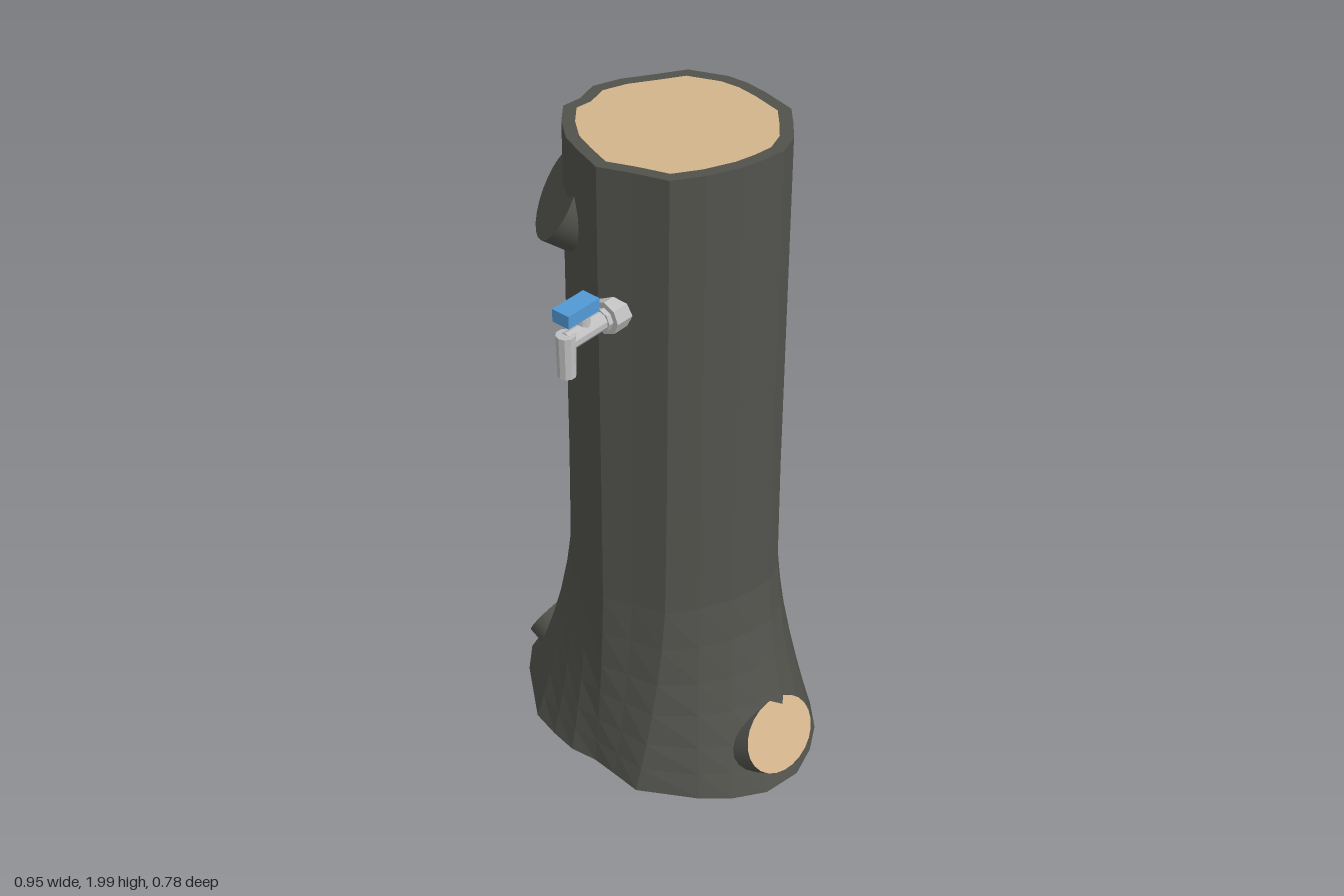
import * as THREE from 'three';

// Irregular outlines as x, z pairs, starting at the back and running towards +x
const TOP = [
  0, -0.36, 0.07, -0.35, 0.17, -0.325, 0.22, -0.27, 0.265, -0.215, 0.287, -0.15, 0.28, -0.09, 0.265, -0.025,
  0.225, 0.065, 0.175, 0.14, 0.08, 0.172, 0, 0.205, -0.085, 0.175, -0.15, 0.148, -0.215, 0.095, -0.265, 0.035,
  -0.26, -0.02, -0.28, -0.09, -0.253, -0.165, -0.2, -0.247, -0.158, -0.315, -0.06, -0.355,
];
const BASE = [
  0, -0.388, 0.14, -0.37, 0.327, -0.343, 0.398, -0.273, 0.445, -0.19, 0.475, -0.09, 0.457, 0.025, 0.398, 0.11,
  0.327, 0.173, 0.17, 0.267, 0.08, 0.26, 0, 0.255, -0.08, 0.267, -0.163, 0.255, -0.253, 0.233, -0.413, 0.102,
  -0.475, 0.025, -0.47, -0.065, -0.444, -0.153, -0.405, -0.217, -0.324, -0.343, -0.12, -0.367,
];
const N = TOP.length / 2;
const CX = 0.005, CZ = -0.08;

// Height and how far the section is flared towards the base outline
const LEVELS = [[0.05, 1], [0.12, 0.83], [0.2, 0.66], [0.3, 0.47], [0.4, 0.31], [0.52, 0.17], [0.65, 0.07], [1, 0.035], [2, 0]];

function ring(y, flare, scale = 1) {
  return Array.from({ length: N }, (_, i) => {
    const x = THREE.MathUtils.lerp(TOP[2 * i], BASE[2 * i], flare);
    const z = THREE.MathUtils.lerp(TOP[2 * i + 1], BASE[2 * i + 1], flare);
    return [CX + (x - CX) * scale, y, CZ + (z - CZ) * scale];
  });
}

function facets(triangles) {
  const g = new THREE.BufferGeometry();
  g.setAttribute('position', new THREE.Float32BufferAttribute(triangles.flat(), 3));
  g.computeVertexNormals();
  return g;
}

// Joins two rings of the same outline
function band(low, high, out) {
  for (let i = 0; i < N; i++) {
    const j = (i + 1) % N;
    out.push(low[i], high[i], high[j], low[i], high[j], low[j]);
  }
}

function cap(points, up, out) {
  const c = [CX, points[0][1], CZ];
  for (let i = 0; i < N; i++) {
    const j = (i + 1) % N;
    out.push(c, points[up ? j : i], points[up ? i : j]);
  }
}

export function createModel() {
  const mat = (name, color) => {
    const m = new THREE.MeshStandardMaterial({ color });
    m.name = name;
    return m;
  };
  const bark = mat('bark', 0x52524d);
  const wood = mat('cut wood', 0xd2b48c);
  const metal = mat('metal', 0xbfbfbf);
  const blue = mat('blue handle', 0x529ad6);

  const model = new THREE.Group();
  model.name = 'treeTrunkWithTap';
  const add = (name, geometry, material, parent = model) => {
    const mesh = new THREE.Mesh(geometry, material);
    mesh.name = name;
    parent.add(mesh);
    return mesh;
  };

  // Trunk: flared bark wall, top rim and underside
  const rings = LEVELS.map(([y, f]) => ring(y, f));
  const inner = ring(2, 0, 0.88);
  const wall = [];
  for (let i = 0; i + 1 < rings.length; i++) band(rings[i], rings[i + 1], wall);
  band(rings[rings.length - 1], inner, wall);
  cap(rings[0], false, wall);
  add('trunk', facets(wall), bark);

  // Sawn top
  const sawn = [];
  cap(inner, true, sawn);
  add('sawnTop', facets(sawn), wood);

  // Cut stubs: oval cylinders leaning upwards, turned to face outwards
  const stub = (name, pos, yaw, tall, wide, length, face) => {
    const g = new THREE.CylinderGeometry(1, 1, length, 24);
    g.translate(0, -length / 2, 0);
    g.scale(tall, 1, wide);
    g.rotateZ(-1.06);
    const mesh = add(name, g, [bark, face, bark]);
    mesh.position.set(...pos);
    mesh.rotation.y = yaw;
  };
  stub('leftRootStub', [0.425, 0.195, -0.065], 0, 0.103, 0.133, 0.185, wood);
  stub('rightRootStub', [-0.425, 0.195, -0.065], Math.PI, 0.103, 0.133, 0.185, wood);
  stub('branchStub', [-0.22, 1.8, 0.11], Math.atan2(-0.74, -0.67), 0.12, 0.138, 0.18, bark);

  // Tap
  const tap = new THREE.Group();
  tap.name = 'tap';
  tap.position.set(0.038, 1.597, 0);
  model.add(tap);
  const flat = (g) => {
    const f = g.toNonIndexed();
    f.computeVertexNormals();
    return f;
  };
  const pipe = (name, r, z0, z1, sides) => {
    const g = new THREE.CylinderGeometry(r, r, z1 - z0, sides).rotateX(Math.PI / 2);
    add(name, flat(g), metal, tap).position.z = (z0 + z1) / 2;
  };
  pipe('wallFlange', 0.046, 0.16, 0.226, 8);
  pipe('collar', 0.031, 0.226, 0.24, 8);
  pipe('tapPipe', 0.026, 0.226, 0.365, 10);
  const upright = (name, r0, r1, y0, y1, z) => {
    add(name, flat(new THREE.CylinderGeometry(r1, r0, y1 - y0, 10)), metal, tap).position.set(0, (y0 + y1) / 2, z);
  };
  upright('spout', 0.024, 0.026, -0.098, 0.022, 0.363);
  upright('valveStem', 0.018, 0.016, 0.01, 0.06, 0.3);
  add('handle', new THREE.BoxGeometry(0.054, 0.036, 0.11), blue, tap).position.set(0, 0.075, 0.325);

  return model;
}
